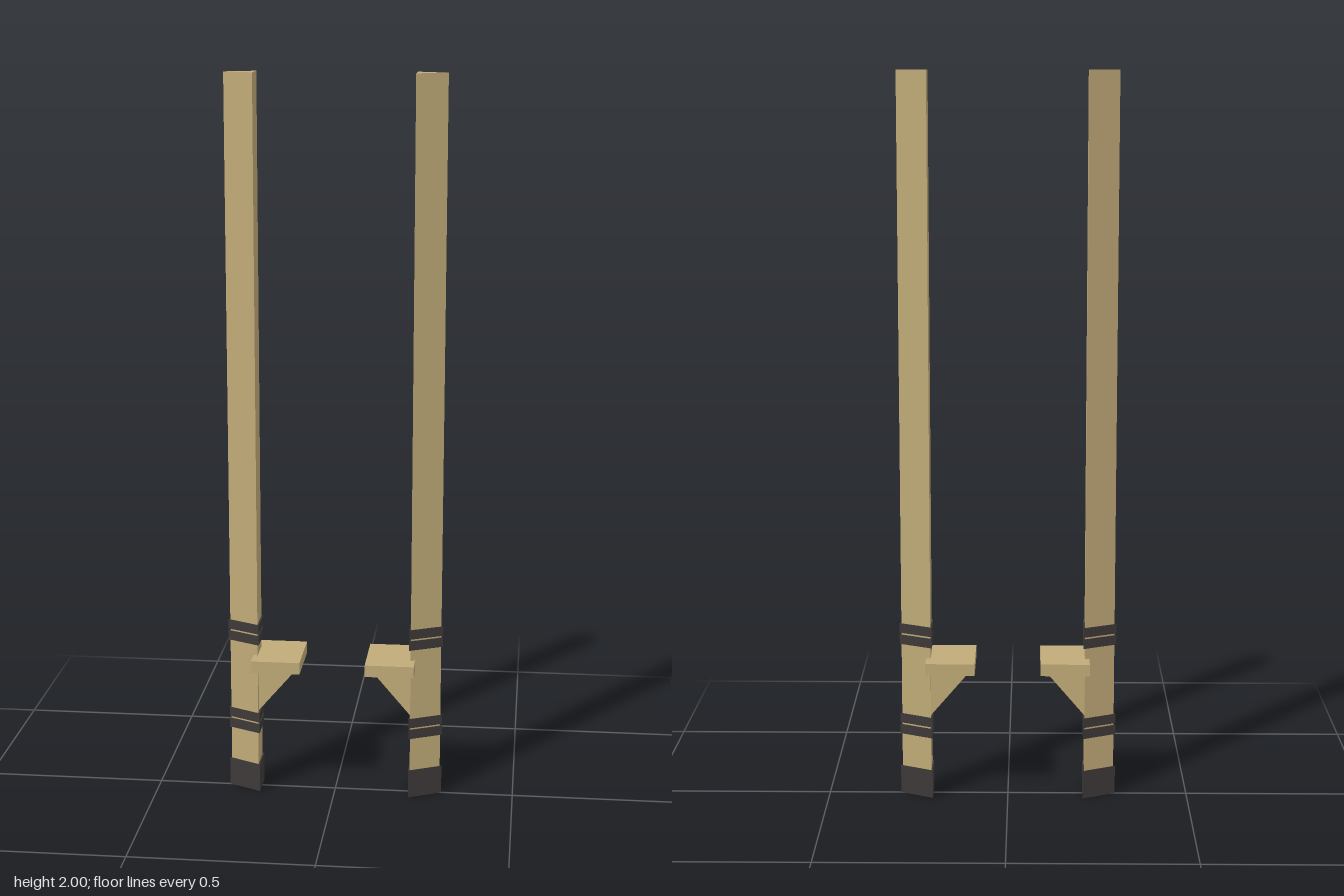
import * as THREE from 'three';

const wood = new THREE.MeshStandardMaterial({ name: 'wood', color: 0xc0aa78 });
const rubber = new THREE.MeshStandardMaterial({ name: 'dark rubber', color: 0x3e3939 });

function addMesh(parent, name, geometry, material) {
  const mesh = new THREE.Mesh(geometry, material);
  mesh.name = name;
  parent.add(mesh);
  return mesh;
}

// Upright triangular prism: flat face inward, sharp edge outward
function prism(inner, outer, halfWidth, y0, y1) {
  const shape = new THREE.Shape([
    new THREE.Vector2(inner, -halfWidth),
    new THREE.Vector2(outer, 0),
    new THREE.Vector2(inner, halfWidth),
  ]);
  const geometry = new THREE.ExtrudeGeometry(shape, { depth: y1 - y0, bevelEnabled: false });
  return geometry.rotateX(-Math.PI / 2).translate(0, y0, 0);
}

const sleeve = (y0, y1) => prism(0.209, 0.3, 0.044, y0, y1);

function createStilt(name) {
  const stilt = new THREE.Group();
  stilt.name = name;

  addMesh(stilt, 'pole', prism(0.213, 0.295, 0.04, 0.02, 2), wood);
  addMesh(stilt, 'footCap', sleeve(0, 0.08), rubber);

  // Two pairs of straps around the pole
  for (const y of [0.174, 0.206, 0.434, 0.466]) {
    addMesh(stilt, 'strap', sleeve(y, y + 0.027), rubber);
  }

  // Foot plate
  const plate = new THREE.BoxGeometry(0.135, 0.033, 0.18).translate(0.1575, 0.387, 0);
  addMesh(stilt, 'footPlate', plate, wood);

  // Triangular bracket under the plate
  const side = new THREE.Shape([
    new THREE.Vector2(0.214, 0.235),
    new THREE.Vector2(0.214, 0.371),
    new THREE.Vector2(0.098, 0.371),
  ]);
  const bracket = new THREE.ExtrudeGeometry(side, { depth: 0.05, bevelEnabled: false });
  addMesh(stilt, 'bracket', bracket.translate(0, 0, -0.025), wood);
  return stilt;
}

export function createModel() {
  const model = new THREE.Group();
  model.name = 'stilts';
  const right = createStilt('rightStilt');
  right.rotation.y = Math.PI;
  model.add(createStilt('leftStilt'), right);
  return model;
}
